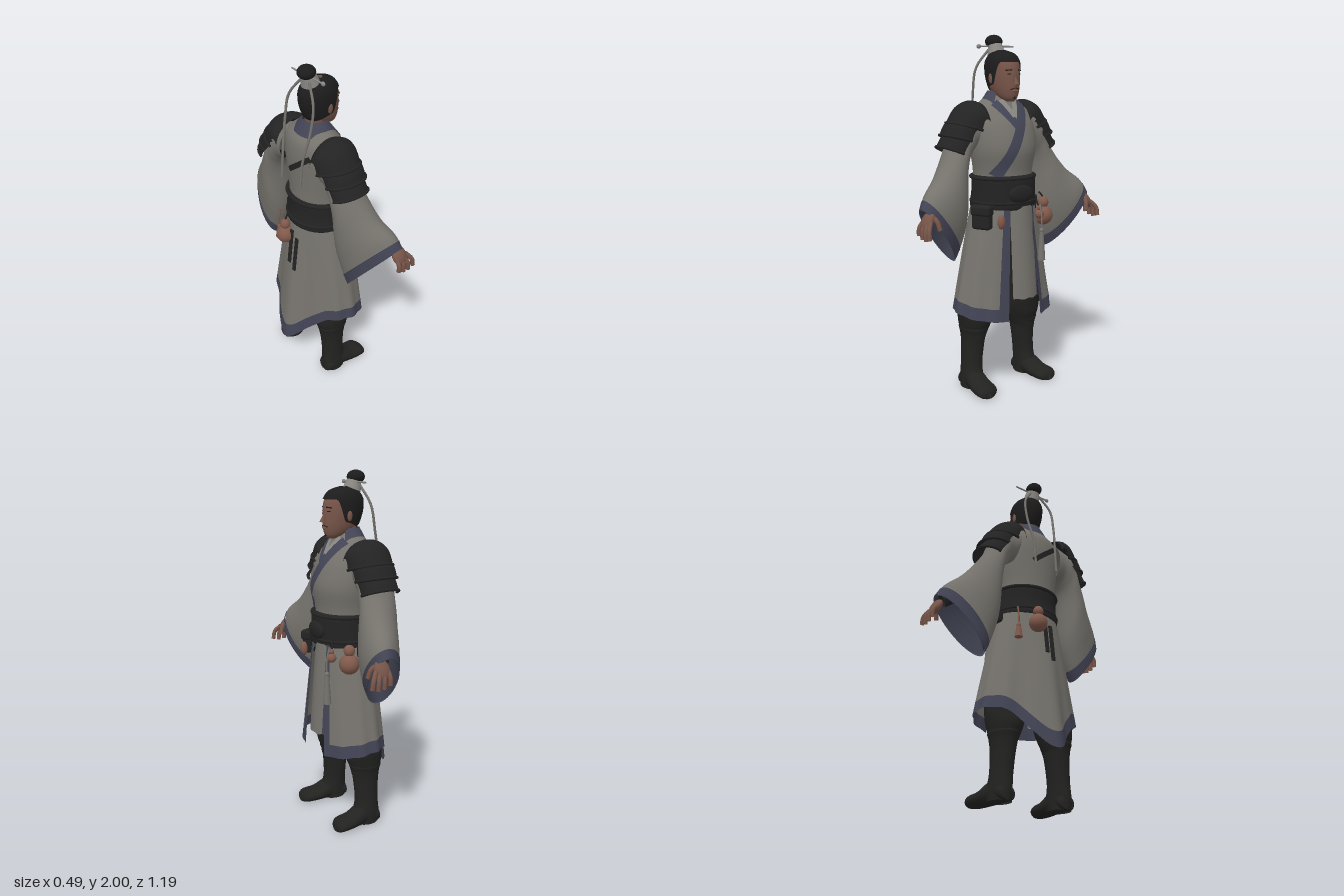
import * as THREE from 'three';
import { RoundedBoxGeometry } from 'three/addons/geometries/RoundedBoxGeometry.js';

const V = (x, y, z) => new THREE.Vector3(x, y, z);
const PI = Math.PI, lerp = THREE.MathUtils.lerp;
const mat = (name, color) => new THREE.MeshStandardMaterial({ name, color, side: THREE.DoubleSide });

// smooth interpolation through rows of numbers, s in 0..1
function at(rows, s) {
  const n = rows.length - 1, f = Math.min(Math.max(s, 0), 1) * n, i = Math.min(Math.floor(f), n - 1), t = f - i;
  const a = rows[Math.max(i - 1, 0)], b = rows[i], c = rows[i + 1], d = rows[Math.min(i + 2, n)];
  return b.map((_, k) => {
    const m0 = (c[k] - a[k]) / 2, m1 = (d[k] - b[k]) / 2, t2 = t * t, t3 = t2 * t;
    return (2 * t3 - 3 * t2 + 1) * b[k] + (t3 - 2 * t2 + t) * m0 + (3 * t2 - 2 * t3) * c[k] + (t3 - t2) * m1;
  });
}

// surface from fn(u, v) -> Vector3; wraps in u when closed
function surf(fn, nu, nv, closed = false) {
  const pos = [], idx = [], cols = closed ? nu : nu + 1;
  for (let j = 0; j <= nv; j++) for (let i = 0; i < cols; i++) pos.push(...fn(i / nu, j / nv).toArray());
  for (let j = 0; j < nv; j++) for (let i = 0; i < nu; i++) {
    const a = j * cols + i, b = j * cols + (i + 1) % cols;
    idx.push(a, a + cols, b, b, a + cols, b + cols);
  }
  const g = new THREE.BufferGeometry();
  g.setAttribute('position', new THREE.Float32BufferAttribute(pos, 3));
  g.setIndex(idx);
  g.computeVertexNormals();
  return g;
}

// rows [y, back x, front x, half width, centre z] -> point on the body
function rowPoint(r, a, grow = 0) {
  return V((r[1] + r[2]) / 2 + ((r[2] - r[1]) / 2 + grow) * Math.cos(a), r[0], (r[4] || 0) + (r[3] + grow) * Math.sin(a));
}
const body = (rows, n = 32) => surf((u, v) => rowPoint(at(rows, v), u * 2 * PI), n, rows.length * 4, true);

function rowAtY(rows, y) {
  let lo = 0, hi = 1;
  for (let i = 0; i < 24; i++) { const m = (lo + hi) / 2; if (at(rows, m)[0] < y) lo = m; else hi = m; }
  return at(rows, lo);
}

const TORSO = [[1.08, -.12, .18, .175], [1.25, -.12, .18, .175], [1.38, -.125, .195, .197], [1.5, -.13, .165, .2],
  [1.58, -.12, .12, .18], [1.63, -.09, .085, .13], [1.67, -.07, .06, .075]];
const HEAD = [[1.64, .08, .12, .02], [1.66, .02, .138, .045], [1.7, -.045, .148, .065], [1.75, -.07, .149, .076],
  [1.8, -.082, .147, .08], [1.85, -.078, .135, .077], [1.89, -.045, .1, .055], [1.908, .01, .035, .01]];
// sleeve rows: top x y z, bottom x y z, half depth
const SLEEVE = [[-.02, 1.61, .13, -.02, 1.38, .16, .1], [-.02, 1.55, .26, -.02, 1.36, .2, .108], [-.015, 1.4, .33, -.02, 1.27, .235, .108],
  [.03, 1.25, .435, -.01, 1.02, .24, .118], [.075, 1.17, .525, -.005, .87, .275, .114], [.095, 1.1, .57, -.005, .77, .32, .098]];

export function createModel() {
  const root = new THREE.Group();
  const robe = mat('grey robe cloth', 0x76736d), navy = mat('navy trim', 0x434455), lining = mat('dark navy lining', 0x393b49),
    black = mat('black leather', 0x232323), boot = mat('dark boots and trousers', 0x222221), skin = mat('skin', 0x775549),
    hair = mat('black hair', 0x1c1c1d), gourdMat = mat('gourd brown', 0x80594b), silver = mat('pale grey metal', 0x8a8883);
  const add = (name, geo, m, parent = root) => {
    const o = new THREE.Mesh(geo, m); o.name = name; parent.add(o); return o;
  };
  const ball = (name, m, p, s, parent = root) => {
    const o = add(name, new THREE.SphereGeometry(1, 24, 16), m, parent); o.position.set(...p); o.scale.set(...s); return o;
  };
  const tube = (name, m, pts, r, parent = root) =>
    add(name, new THREE.TubeGeometry(new THREE.CatmullRomCurve3(pts.map(p => V(...p))), 20, r, 8), m, parent);
  const box = (name, m, p, s, rot = [0, 0, 0], parent = root) => {
    const o = add(name, new RoundedBoxGeometry(...s, 2, Math.min(...s) * .3), m, parent);
    o.position.set(...p); o.rotation.set(...rot); return o;
  };

  // tunic, with diagonal bands lying on its surface (path points are y, z)
  add('tunic', body(TORSO, 40), robe);
  const band = (name, m, p, q, w, side = 1, lift = .008) => {
    const len = Math.hypot(q[0] - p[0], q[1] - p[1]), ny = -(q[1] - p[1]) / len, nz = (q[0] - p[0]) / len;
    add(name, surf((u, v) => {
      const y = lerp(p[0], q[0], v) + ny * w * (u - .5), z = lerp(p[1], q[1], v) + nz * w * (u - .5);
      const r = rowAtY(TORSO, y), k = Math.sqrt(Math.max(0, 1 - (z / r[3]) ** 2));
      return V((r[1] + r[2]) / 2 + side * ((r[2] - r[1]) / 2 * k + lift), y, z);
    }, 6, 20), m);
  };
  band('innerLapel', navy, [1.635, .085], [1.485, -.02], .05, 1, .006);
  band('outerLapel', navy, [1.635, -.09], [1.24, .13], .06, 1, .011);
  band('innerCollar', silver, [1.65, .045], [1.56, 0], .03, 1, .009);
  band('innerCollarFold', silver, [1.65, -.045], [1.56, 0], .03, 1, .009);
  band('backStrap', black, [1.53, .1], [1.4, -.06], .03, -1);
  add('collar', surf((u, v) => rowPoint([lerp(1.62, 1.695, v), lerp(-.1, -.065, v), lerp(.1, .06, v), lerp(.125, .068, v)],
    lerp(.8, 2 * PI - .8, u)), 32, 4), navy);

  // belt
  add('belt', body([[1.05, -.13, .195, .185], [1.07, -.14, .203, .192], [1.15, -.13, .205, .187], [1.22, -.13, .203, .186], [1.24, -.115, .185, .178]], 40), black);
  for (const y of [1.09, 1.225])
    add('beltCord', new THREE.TubeGeometry(new THREE.CatmullRomCurve3([...Array(20).keys()].map(i =>
      rowPoint([y, -.135, .2, .186], i * PI / 10)), true), 60, .01, 8, true), black);
  ball('beltBuckle', black, [.2, 1.14, 0], [.022, .05, .08]);

  // open-fronted skirt with a narrow tail at the back
  const skirtPoint = (a, v, grow = 0) => {
    const c = Math.cos(a), back = Math.max(-c, 0), w = Math.pow(v, .9), fold = 1 + .018 * v * Math.sin(a * 13);
    const hem = .475 - .045 * Math.max(c, 0) - .21 * back ** 7;
    const depth = c > 0 ? lerp(.165, .212, w) : lerp(.16, .2 + .075 * back ** 14, w);
    return V(.03 + depth * c * fold + grow * c, lerp(1.08, hem, v), (lerp(.185, .315, w) * fold + grow) * Math.sin(a));
  };
  const A0 = .33, A1 = 2 * PI - .4;
  const skirtPart = (name, m, a0, a1, v0, v1, n) =>
    add(name, surf((u, v) => skirtPoint(lerp(a0, a1, u), lerp(v0, v1, v)), n, 20), m);
  skirtPart('skirt', robe, A0 + .2, A1 - .14, 0, .89, 96);
  skirtPart('skirtHem', navy, A0, A1, .89, 1, 96);
  skirtPart('skirtLeftEdge', navy, A0, A0 + .2, 0, .89, 4);
  skirtPart('skirtRightEdge', navy, A1 - .14, A1, 0, .89, 4);
  const apron = (name, m, u0, u1, lift) => add(name, surf((u, v) => {
    const k = lerp(u0, u1, u);
    return V(lerp(.203, .243, v) + lift - .03 * (2 * k - 1) ** 2, lerp(1.07, .55 + .004 * Math.sin(k * 15), v), lerp(.055, -.1, k) * (1 + .1 * v));
  }, 10, 10), m);
  apron('frontPanel', robe, 0, 1, 0);
  apron('frontPanelEdge', navy, .93, 1.05, .004);

  // head
  const head = new THREE.Group(); head.name = 'head'; root.add(head);
  add('face', body(HEAD, 36), skin, head);
  add('neck', body([[1.58, -.06, .05, .06], [1.64, -.05, .055, .052], [1.72, -.05, .07, .055]], 24), skin, head);
  add('hairCap', surf((u, v) => {
    const a = u * 2 * PI, c = Math.cos(a);
    const line = c > 0 ? lerp(1.73, 1.85, THREE.MathUtils.smoothstep(c, .08, .65)) : lerp(1.73, 1.69, -c);
    const p = rowPoint(rowAtY(HEAD, lerp(line, 1.907, Math.sin(v * PI / 2))), a, .009);
    p.y += .008 * v; return p;
  }, 64, 16, true), hair, head);
  const nose = add('nose', new THREE.ConeGeometry(.016, .055, 8), skin, head);
  nose.position.set(.151, 1.755, 0); nose.rotation.z = .25;
  box('mouth', gourdMat, [.146, 1.698, 0], [.008, .007, .036], [0, 0, 0], head);
  box('goatee', hair, [.135, 1.662, 0], [.01, .016, .012], [0, 0, 0], head);
  for (const s of [1, -1]) {
    ball('ear', skin, [.035, 1.765, s * .084], [.016, .03, .009], head);
    box('eyebrow', hair, [.134, 1.808, s * .035], [.008, .006, .036], [s * .1, -s * .5, 0], head);
    box('eye', hair, [.134, 1.787, s * .034], [.007, .006, .02], [0, -s * .5, 0], head);
    box('moustache', hair, [.145, 1.709, s * .016], [.007, .004, .028], [s * .3, -s * .3, 0], head);
    tube('hairRibbon', robe, [[-.06, 1.92, s * .03], [-.09, 1.82, s * .095], [-.115, 1.68, s * .1], [-.15, 1.52, s * .08], [-.165, 1.36, s * .075]], .007, head);
  }
  ball('topKnot', hair, [-.052, 1.963, 0], [.05, .037, .048], head);
  const ring = add('topKnotBand', new THREE.CylinderGeometry(.038, .05, .055, 24), silver, head);
  ring.position.set(-.035, 1.922, 0); ring.rotation.z = .3;
  tube('hairPin', silver, [[-.04, 1.937, -.125], [-.04, 1.937, 0], [-.04, 1.935, .11]], .005, head);
  ball('hairPinEnd', silver, [-.04, 1.935, .11], [.009, .012, .014], head);

  // one arm and leg, mirrored for the other side
  for (const s of [1, -1]) {
    const limb = new THREE.Group(); limb.name = s > 0 ? 'leftLimbs' : 'rightLimbs'; limb.scale.z = s; root.add(limb);
    const sleeve = (name, m, s0, s1, k) => add(name, surf((u, v) => {
      const r = at(SLEEVE, lerp(s0, s1, v)), a = u * 2 * PI, c = .5 + .5 * k * Math.cos(a);
      const wrinkle = 1 + .02 * Math.sin(v * 34 + Math.cos(a) * 2) * (1 - v);
      return V(lerp(r[3], r[0], c) + r[6] * k * wrinkle * Math.sin(a), lerp(r[4], r[1], c), lerp(r[5], r[2], c));
    }, 32, 24, true), m, limb);
    sleeve('sleeve', robe, 0, .87, 1);
    sleeve('cuff', navy, .87, 1, 1.01);
    sleeve('sleeveLining', lining, .66, 1, .95);
    sleeve('sleeveInside', black, .5, .66, .95);

    // hand with a dark wrist wrap
    tube('wristWrap', black, [[.06, 1.17, .4], [.08, 1.12, .46], [.1, 1.075, .525]], .036, limb);
    const palm = ball('palm', skin, [.12, 1.04, .55], [.045, .055, .026], limb); palm.rotation.x = -.5;
    for (let i = 0; i < 4; i++) {
      const x = .09 + i * .023, l = [.8, .95, 1, .9][i];
      tube('finger', skin, [[x, 1.04, .555], [x + .01 * i, 1.035 - .04 * l, .582], [x + .013 * i, 1.035 - .09 * l, .585]], .0125, limb);
    }
    tube('thumb', skin, [[.13, 1.07, .535], [.165, 1.04, .52], [.178, .995, .51]], .013, limb);

    // layered shoulder guard: four (y, z) points, half width, side wrap, wrap direction at top and bottom
    const guards = [[[1.635, .135], [1.645, .19], [1.61, .26], [1.53, .318], .13, .13, [-1, 0], [-.3, -1]],
      [[1.58, .26], [1.55, .3], [1.515, .333], [1.465, .358], .122, .11, [-.5, -.8], [-.25, -.95]],
      [[1.5, .31], [1.47, .337], [1.44, .36], [1.405, .382], .11, .1, [-.4, -.8], [-.35, -.85]]];
    guards.forEach(g => {
      const path = g.slice(0, 4), [hw, wrap, top, low] = g.slice(4);
      const pt = (u, v) => {
        const [y, z] = at(path, v), f = lerp(-PI / 2, PI / 2, u), d = (1 - Math.cos(f)) * wrap;
        return V(-.022 + hw * Math.sin(f), y + d * lerp(top[0], low[0], v), z + d * lerp(top[1], low[1], v));
      };
      add('shoulderGuard', surf(pt, 20, 14), black, limb);
      tube('shoulderGuardRim', black, [...Array(13).keys()].map(i => pt(i / 12, 1).toArray()), .008, limb);
    });

    // trousers and boots
    add('trouserLeg', body([[.3, -.095, .07, .065, .18], [.35, -.105, .08, .08, .173], [.4, -.118, .1, .094, .168], [.45, -.115, .11, .105, .163],
      [.52, -.115, .125, .106, .157], [.65, -.11, .13, .105, .145], [.85, -.1, .13, .1, .11], [1.05, -.08, .13, .09, .09]], 28), boot, limb);
    add('bootShaft', body([[0, -.085, .06, .058, .195], [.06, -.09, .075, .06, .195], [.14, -.085, .055, .058, .19],
      [.25, -.09, .06, .062, .182], [.32, -.1, .072, .07, .178], [.36, -.11, .085, .08, .176], [.37, -.09, .07, .06, .176]], 28), boot, limb);
    const FOOT = [[-.088, .05, .03, .195], [-.07, .085, .052, .195], [.02, .12, .058, .198], [.1, .078, .066, .206], [.17, .066, .066, .213], [.2, .045, .045, .217], [.208, .03, .01, .218]];
    add('bootFoot', surf((u, v) => {
      const [x, h, w, z] = at(FOOT, v), a = u * 2 * PI;
      return V(x, Math.max(0, h * (.45 + .55 * Math.sin(a))), z + w * Math.cos(a));
    }, 24, 24, true), boot, limb);
  }

  // things hung from the belt
  const gourd = (x, y, z, r) => {
    ball('gourdBase', gourdMat, [x, y, z], [r, r, r]);
    ball('gourdTop', gourdMat, [x, y + r * 1.35, z], [r * .55, r * .6, r * .55]);
    tube('gourdCord', black, [[x, y + r * 1.8, z], [x * .95, y + r * 2.2, z * .95], [x * .9, 1.12, z * .9]], .005);
  };
  gourd(.12, .985, -.225, .056);
  gourd(-.165, .98, -.06, .052);
  gourd(.185, 1.01, -.145, .026);
  ball('woodenCharm', gourdMat, [.208, 1.0, .14], [.02, .04, .022]);
  const tassel = (name, m, x, y, z, l) => {
    tube('tasselCord', m, [[x * .92, 1.07, z], [x, (1.07 + y) / 2, z], [x, y, z]], .005);
    ball('tasselKnot', m, [x, y, z], [.013, .015, .013]);
    const t = add(name, new THREE.CylinderGeometry(.011, .023, l, 12), m); t.position.set(x, y - l / 2, z);
  };
  tassel('frontTassel', robe, .212, .92, -.14, .17);
  tassel('backTassel', gourdMat, -.125, .95, -.165, .07);
  box('pouch', black, [.125, 1.02, .208], [.11, .13, .06], [0, .45, 0]);
  box('pouchFlap', black, [.128, 1.06, .212], [.12, .06, .066], [0, .45, 0]);
  box('sidePouch', black, [.02, 1.04, -.21], [.07, .07, .05]);
  for (const [z, y] of [[.03, .88], [-.01, .92]]) box('hangingStrap', black, [-.17, y, z], [.008, .22, .025], [0, 0, -.12]);
  return root;
}
